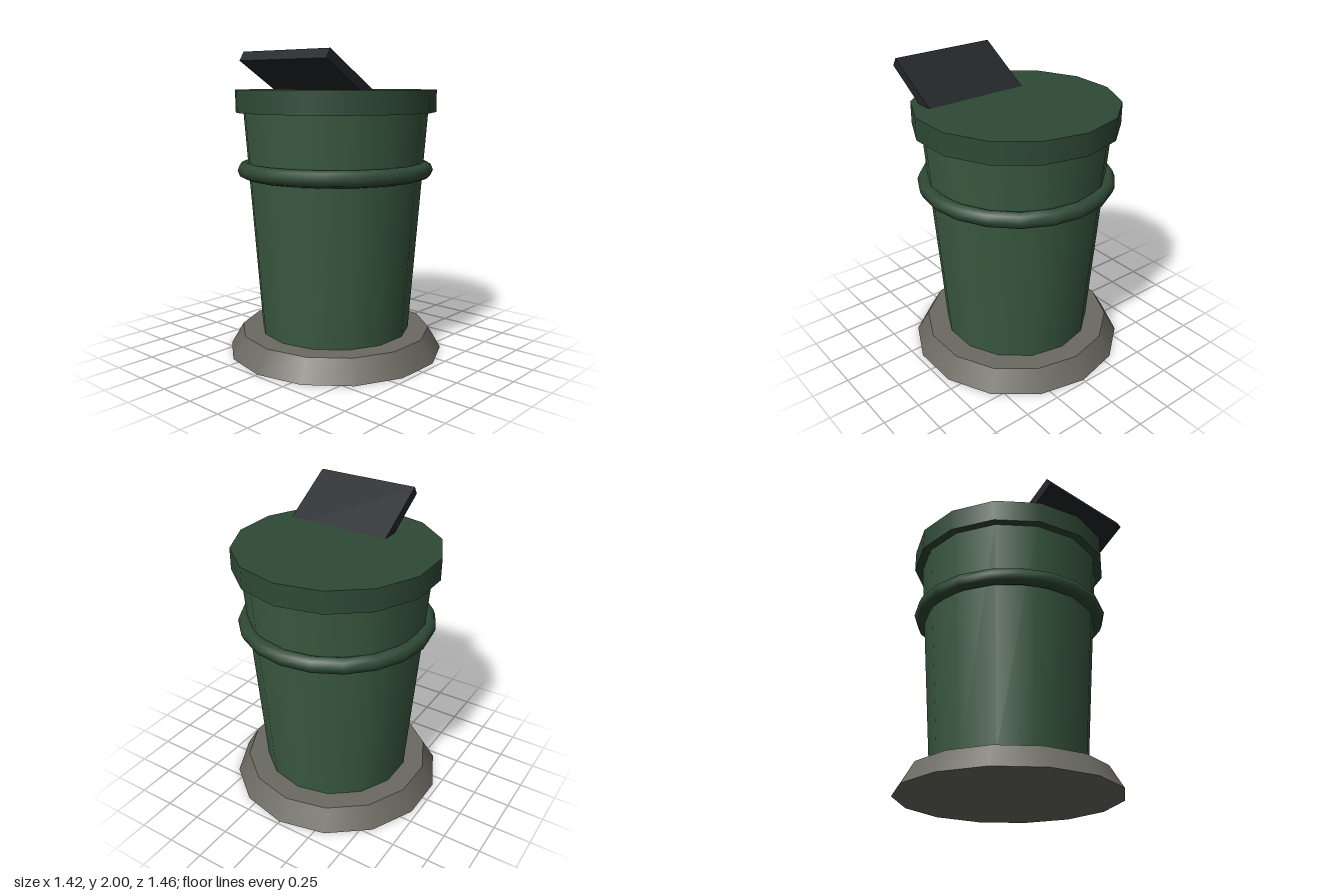
import * as THREE from 'three';

const SIDES = 14;

export function createModel() {
  const model = new THREE.Group();
  model.name = 'bin';

  const green = new THREE.MeshStandardMaterial({ color: 0x3a5a40 });
  const darkGreen = new THREE.MeshStandardMaterial({ color: 0x2f4a35 });
  const stone = new THREE.MeshStandardMaterial({ color: 0x6b6a62 });
  const black = new THREE.MeshStandardMaterial({ color: 0x22262a });

  function add(name, geometry, material, x, y, z) {
    const mesh = new THREE.Mesh(geometry, material);
    mesh.name = name;
    mesh.position.set(x, y, z);
    model.add(mesh);
    return mesh;
  }

  // Fourteen-sided drum standing between two heights
  function drum(name, bottomRadius, topRadius, y0, y1, material) {
    const geometry = new THREE.CylinderGeometry(topRadius, bottomRadius, y1 - y0, SIDES);
    return add(name, geometry, material, 0, (y0 + y1) / 2, 0);
  }

  // Flared foot, tapered body and overhanging lid
  drum('base', 0.73, 0.645, 0, 0.145, stone);
  drum('body', 0.505, 0.618, 0.145, 1.64, green);
  drum('lid', 0.67, 0.67, 1.622, 1.768, darkGreen);

  // Rounded band around the body
  const band = add('band', new THREE.TorusGeometry(0.6, 0.054, 8, 20), darkGreen, 0, 1.243, 0);
  band.rotation.x = Math.PI / 2;

  // Tilted flap rising out of the lid towards the front
  const flap = add('flap', new THREE.BoxGeometry(0.725, 0.065, 0.55), black, 0.143, 1.829, 0.383);
  flap.rotation.x = -0.55;

  return model;
}
